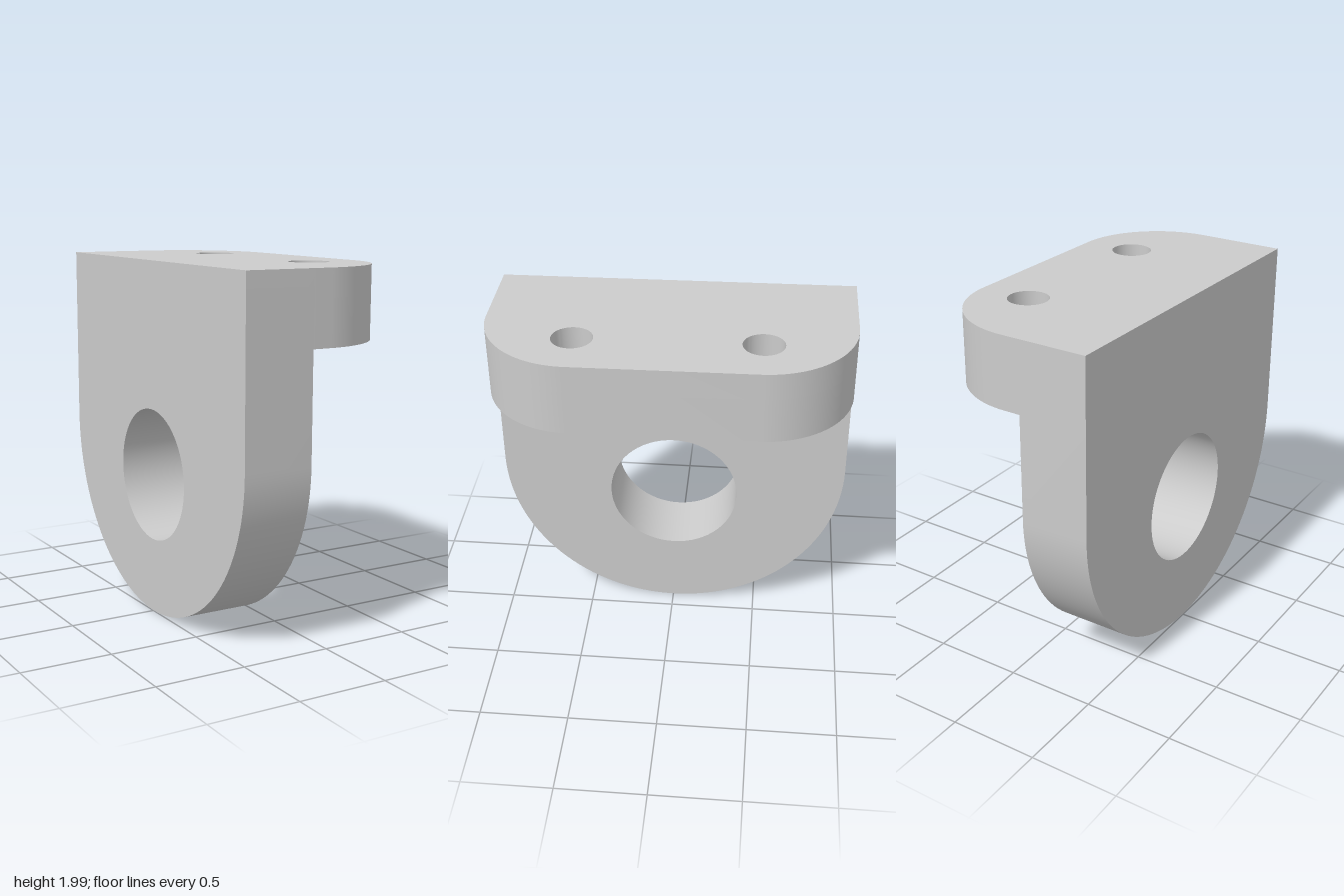
import * as THREE from 'three';
import { toCreasedNormals } from 'three/addons/utils/BufferGeometryUtils.js';

const HALF = 0.995;                  // half length along z
const BACK = -0.497, FACE = -0.103, TIP = 0.495; // x of back, inner face, flange edge
const TOP = 1.992, UNDER = 1.592;    // y of flange top and underside
const LEDGE = 1.842;                 // top of the counterbores
const CORNER = 0.5;                  // flange corner radius

const material = new THREE.MeshStandardMaterial({ color: 0xcccccc });

function addHole(shape, x, y, r) {
  const hole = new THREE.Path();
  hole.absarc(x, y, r, 0, Math.PI * 2, true);
  shape.holes.push(hole);
}

function extrude(name, shape, depth) {
  const geometry = new THREE.ExtrudeGeometry(shape, { depth, bevelEnabled: false, curveSegments: 32 });
  const mesh = new THREE.Mesh(toCreasedNormals(geometry, 0.5), material);
  mesh.name = name;
  return mesh;
}

// One layer of the flange, with a pair of screw holes
function flangeLayer(name, bottom, top, holeRadius) {
  const shape = new THREE.Shape();
  shape.moveTo(FACE, -HALF);
  shape.lineTo(TIP - CORNER, -HALF);
  shape.absarc(TIP - CORNER, -HALF + CORNER, CORNER, -Math.PI / 2, 0, false);
  shape.absarc(TIP - CORNER, HALF - CORNER, CORNER, 0, Math.PI / 2, false);
  shape.lineTo(FACE, HALF);
  shape.closePath();
  for (const side of [-1, 1]) addHole(shape, 0.197, side * 0.5, holeRadius);
  const mesh = extrude(name, shape, top - bottom);
  mesh.rotation.x = -Math.PI / 2;
  mesh.position.y = bottom;
  return mesh;
}

export function createModel() {
  const model = new THREE.Group();
  model.name = 'mountingBracket';

  // Upright plate with a round lower end and a large bore
  const outline = new THREE.Shape();
  outline.moveTo(HALF, TOP);
  outline.lineTo(-HALF, TOP);
  outline.lineTo(-HALF, 1);
  outline.absarc(0, 1, HALF, Math.PI, Math.PI * 2, false);
  outline.closePath();
  addHole(outline, 0, 0.8, 0.372);
  const plate = extrude('uprightPlate', outline, FACE - BACK);
  plate.rotation.y = Math.PI / 2;
  plate.position.x = BACK;

  // Flange: narrow screw holes above wider counterbores
  const flange = new THREE.Group();
  flange.name = 'flange';
  flange.add(
    flangeLayer('flangeTop', LEDGE, TOP, 0.112),
    flangeLayer('flangeCounterbored', UNDER, LEDGE, 0.19),
  );

  // Very slight tilt about the middle of the bracket
  const body = new THREE.Group();
  body.name = 'bracketBody';
  body.add(plate, flange);
  body.children.forEach((part) => { part.position.y -= 1; });
  body.position.y = 1;
  body.rotation.x = 0.007;
  model.add(body);
  return model;
}
